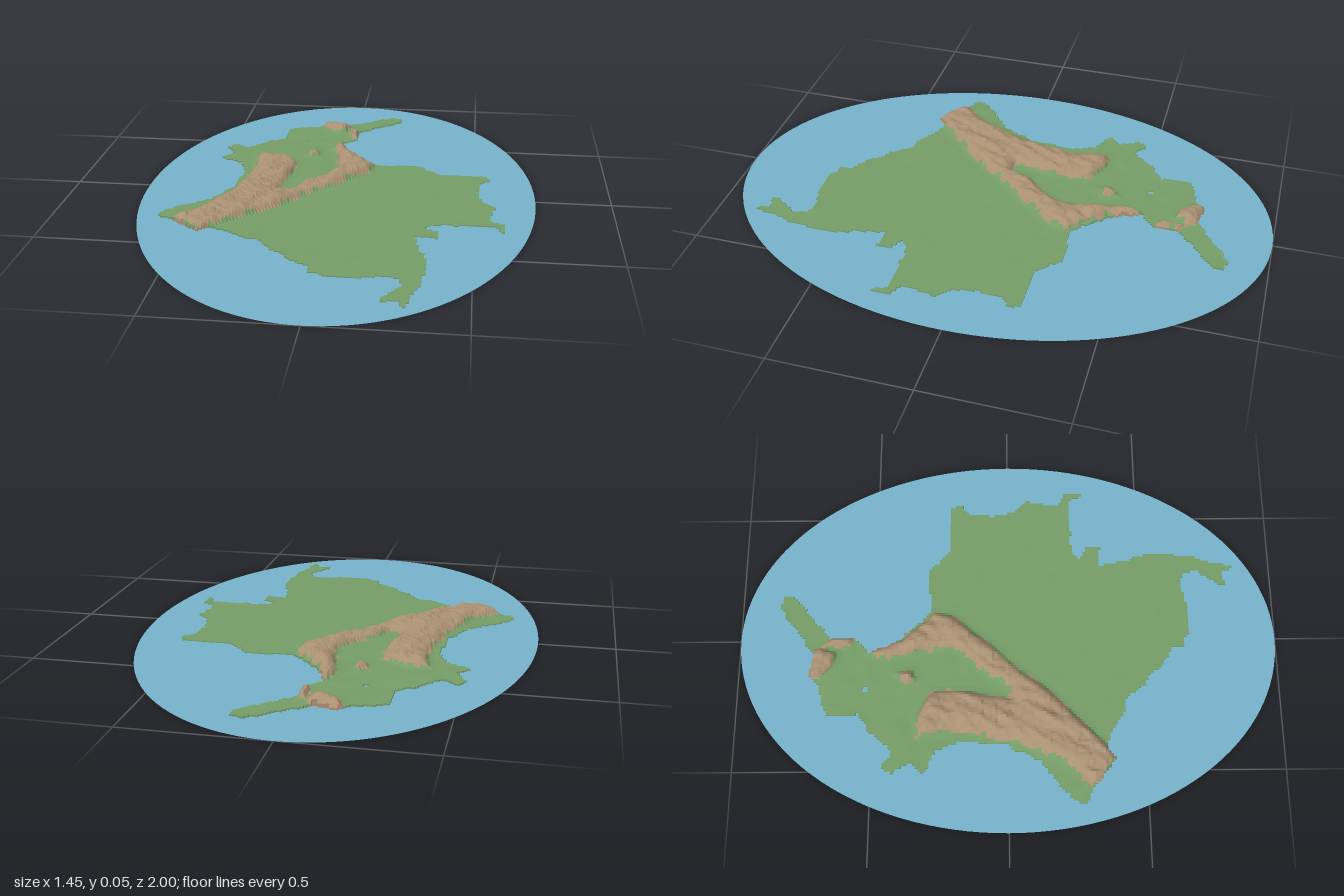
import * as THREE from 'three';

const CELL = 0.01;

// Outlines in hundredths of a unit: x, z pairs
const COAST = [18,-84, 18,-81, 7,-72, 1,-66, 1,-58, -5,-52, -1,-42, 8,-32, 12,-29, 29,-30, 36,-22, 56,-22,
  56,-18, 52,-15, 52,0, 58,8, 55,20, 61,22, 61,30, 58,24, 48,24, 35,25, 33,28, 38,31, 38,35, 30,35, 32,45,
  35,53, 35,64, 33,72, 31,78, 30,86, 28,85, 28,81, 22,83, 23,80, 28,72, 27,67, 20,66, 14,68, 3,68, -2,66,
  -3,62, -11,57, -13,53, -18,50, -23,44, -30,42, -34,38, -42,36, -46,39, -56,31, -62,28, -63,26, -55,18,
  -46,11, -40,-2, -39,-18, -42,-26, -51,-31, -47,-35, -51,-43, -48,-46, -43,-42, -35,-51, -29,-55, -29,-66,
  -25,-69, -17,-70, -13,-74, -6,-72, 3,-78, 8,-83, 14,-86];

const RANGES = [
  // twin cordilleras joined in the south-west
  [-46,39, -55,33, -56,30, -50,24, -46,18, -42,8, -39,0, -37,-10, -35,-18, -36,-26, -37,-33, -30,-34, -24,-31,
    -20,-28, -20,-16, -22,-7, -23,1, -18,1, -15,-7, -8,-13, -3,-21, -4,-31, -6,-39, -7,-46, -5,-52, -2,-46,
    0,-40, 7,-32, 11,-28, 10,-21, 3,-13, -3,-5, -12,4, -18,13, -26,21, -34,29, -40,35],
  // northern coastal massif, eastern border ridge, small hill
  [-15,-74, -4,-73, -3,-70, -5,-64, -10,-65, -14,-69],
  [-2,-69, 1,-66, 1,-58, -2,-59],
  [-17,-38, -13,-42, -12,-36, -16,-34],
].map(toPoints);
const LAND = toPoints(COAST);

function toPoints(list) {
  const points = [];
  for (let i = 0; i < list.length; i += 2) points.push([list[i] / 100, list[i + 1] / 100]);
  return points;
}

// Distance to an outline, positive inside
function signedDistance(points, x, z) {
  let inside = false, best = Infinity;
  for (let i = 0, j = points.length - 1; i < points.length; j = i++) {
    const [ax, az] = points[i], [bx, bz] = points[j];
    if ((az > z) !== (bz > z) && x < (bx - ax) * (z - az) / (bz - az) + ax) inside = !inside;
    const dx = bx - ax, dz = bz - az;
    const t = THREE.MathUtils.clamp(((x - ax) * dx + (z - az) * dz) / (dx * dx + dz * dz), 0, 1);
    best = Math.min(best, Math.hypot(x - ax - t * dx, z - az - t * dz));
  }
  return inside ? best : -best;
}

// Smooth repeatable noise from 0 to 1
function hash(i, j) {
  const s = Math.sin(i * 127.1 + j * 311.7) * 43758.5453;
  return s - Math.floor(s);
}
function noise(x, z) {
  const i = Math.floor(x), j = Math.floor(z);
  const u = THREE.MathUtils.smoothstep(x - i, 0, 1), v = THREE.MathUtils.smoothstep(z - j, 0, 1);
  const a = THREE.MathUtils.lerp(hash(i, j), hash(i + 1, j), u);
  const b = THREE.MathUtils.lerp(hash(i, j + 1), hash(i + 1, j + 1), u);
  return THREE.MathUtils.lerp(a, b, v);
}

const mountainDepth = (x, z) => Math.max(...RANGES.map(r => signedDistance(r, x, z)));

// Plains, western foothills, then steep ridges running south-west to north-east
function height(x, z) {
  const d = mountainDepth(x, z);
  const across = x * 0.85 + z * 0.5, along = x * 0.5 - z * 0.85;
  const rough = noise(across * 38, along * 14) * 0.7 + noise(x * 80, z * 80) * 0.3;
  const west = THREE.MathUtils.smoothstep(-x - z * 0.6, -0.05, 0.25);
  let y = 0.003 + 0.0012 * noise(x * 25, z * 25) + west * 0.004 * noise(across * 20 + 9, along * 12);
  if (d > -0.02) y += 0.003 * Math.min(1, (d + 0.02) / 0.02);
  if (d > 0) y += (1 - Math.exp(-d / 0.016)) * (0.014 + 0.026 * rough);
  return y;
}

function createTerrain(lowland, highland) {
  const nx = 132, nz = 178, x0 = -nx * CELL / 2, z0 = -nz * CELL / 2;
  const heights = new Map();
  const corner = (i, j) => {
    const key = i * 1000 + j, x = x0 + i * CELL, z = z0 + j * CELL;
    if (!heights.has(key)) heights.set(key, height(x, z));
    return [x, heights.get(key), z];
  };
  // 0 sea, 1 lowland, 2 mountain
  const kinds = [];
  for (let i = 0; i < nx; i++) {
    kinds.push([]);
    for (let j = 0; j < nz; j++) {
      const x = x0 + (i + 0.5) * CELL, z = z0 + (j + 0.5) * CELL;
      const wobble = (noise(x * 45, z * 45) - 0.5) * 0.012;
      const lake = Math.hypot(x + 0.19, z + 0.53) < 0.013;
      const land = !lake && signedDistance(LAND, x, z) + wobble > 0;
      kinds[i].push(!land ? 0 : mountainDepth(x, z) + wobble * 2 > 0.002 ? 2 : 1);
    }
  }
  const faces = { 1: [], 2: [] };
  const quad = (out, a, b, c, d) => out.push(...a, ...b, ...c, ...a, ...c, ...d);
  const floor = p => [p[0], 0, p[2]];
  for (let i = 0; i < nx; i++) for (let j = 0; j < nz; j++) {
    const kind = kinds[i][j];
    if (!kind) continue;
    const loop = [corner(i, j), corner(i, j + 1), corner(i + 1, j + 1), corner(i + 1, j)];
    quad(faces[kind], ...loop);
    // shore walls down to the sea
    [[-1, 0], [0, 1], [1, 0], [0, -1]].forEach(([di, dj], k) => {
      if (kinds[i + di]?.[j + dj]) return;
      const a = loop[k], b = loop[(k + 1) % 4];
      quad(faces[kind], a, floor(a), floor(b), b);
    });
  }
  return [['lowland', faces[1], lowland], ['mountains', faces[2], highland]].map(([name, list, material]) => {
    const geometry = new THREE.BufferGeometry();
    geometry.setAttribute('position', new THREE.Float32BufferAttribute(list, 3));
    geometry.computeVertexNormals();
    const mesh = new THREE.Mesh(geometry, material);
    mesh.name = name;
    return mesh;
  });
}

export function createModel() {
  const water = new THREE.MeshStandardMaterial({ color: 0x76b3cb, side: THREE.DoubleSide });
  water.name = 'seaBlue';
  const green = new THREE.MeshStandardMaterial({ color: 0x759d67 });
  green.name = 'lowlandGreen';
  const brown = new THREE.MeshStandardMaterial({ color: 0xab9173 });
  brown.name = 'mountainBrown';

  const group = new THREE.Group();
  group.name = 'reliefMap';

  // Flat oval sea
  const sea = new THREE.Mesh(new THREE.CircleGeometry(1, 128).rotateX(-Math.PI / 2).scale(0.725, 1, 1), water);
  sea.name = 'sea';
  group.add(sea, ...createTerrain(green, brown));
  return group;
}
